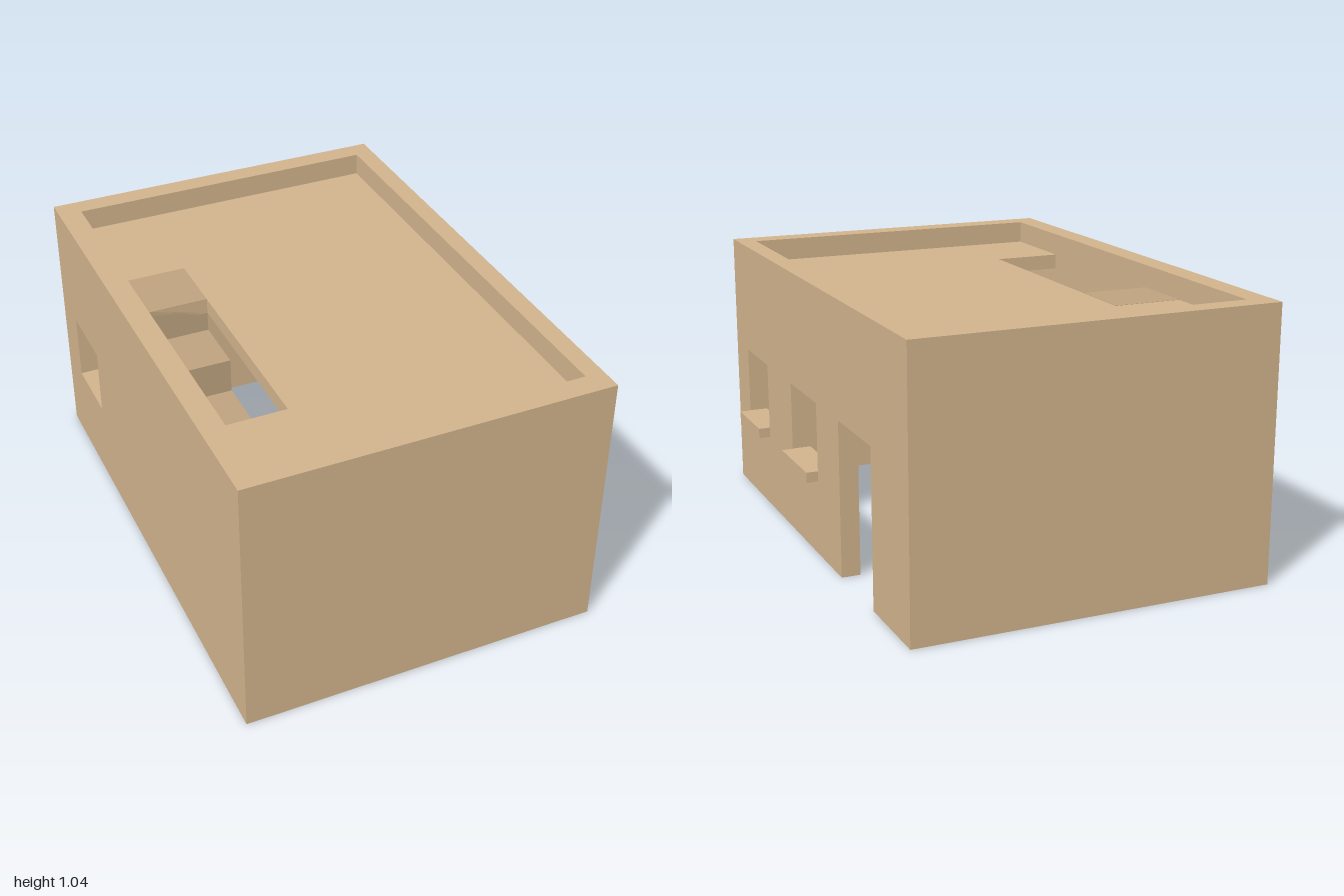
import * as THREE from 'three';

// Overall plan: outer and inner faces of the walls, and main heights
const X0 = -0.72, X1 = 0.67, Z0 = -1, Z1 = 1, H = 1.045;
const IX0 = -0.63, IX1 = 0.597, IZ0 = -0.917, IZ1 = 0.91;
const ROOF = 0.957, SLAB = 0.06, STAIR_X = -0.36;
const RISE = ROOF / 7;

const wallMat = new THREE.MeshStandardMaterial({ color: 0xd2b48c });
const stairMat = new THREE.MeshStandardMaterial({ color: 0xbea37f });

function add(group, name, geometry, material = wallMat) {
  const mesh = new THREE.Mesh(geometry, material);
  mesh.name = name;
  group.add(mesh);
}

// Box given by its two opposite corners
function box(x0, x1, y0, y1, z0, z1) {
  return new THREE.BoxGeometry(x1 - x0, y1 - y0, z1 - z0)
    .translate((x0 + x1) / 2, (y0 + y1) / 2, (z0 + z1) / 2);
}

const polygon = (pts) => new THREE.Shape(pts.map(([a, b]) => new THREE.Vector2(a, b)));

// Side profile of [z, y] points with rectangular holes, extruded from x0 to x1
function sideProfile(pts, holes, x0, x1) {
  const shape = polygon(pts.map(([z, y]) => [-z, y]));
  for (const [z0, z1, y0, y1] of holes) {
    shape.holes.push(polygon([[-z0, y0], [-z0, y1], [-z1, y1], [-z1, y0]]));
  }
  return new THREE.ExtrudeGeometry(shape, { depth: x1 - x0, bevelEnabled: false })
    .rotateY(Math.PI / 2)
    .translate(x0, 0, 0);
}

export function createModel() {
  const house = new THREE.Group();
  house.name = 'house';

  // Long wall with the doorway and two windows
  const windows = [[-0.068, 0.243, 0.335, 0.6], [0.556, 0.838, 0.335, 0.6]];
  add(house, 'doorWall', sideProfile([
    [Z1, 0], [-0.317, 0], [-0.317, 0.6], [-0.652, 0.6], [-0.652, 0], [Z0, 0], [Z0, H], [Z1, H],
  ], windows, IX1, X1));

  // Window sills
  for (const [z0, z1, y] of windows) {
    add(house, 'windowSill', box(X1, 0.715, y - 0.04, y, z0, z1 - 0.003));
  }

  // Opposite long wall with one window
  add(house, 'stairWall', sideProfile([[Z1, 0], [Z0, 0], [Z0, H], [Z1, H]],
    [[-0.83, -0.55, 0.335, 0.6]], X0, IX0));

  // End walls
  add(house, 'frontWall', box(IX0, IX1, 0, H, IZ1, Z1));
  add(house, 'backWall', box(IX0, IX1, 0, H, Z0, IZ0));

  // Flat roof below the parapet, notched for the stair hatch
  const roof = polygon([
    [IX0, -IZ1], [IX1, -IZ1], [IX1, -IZ0], [IX0, -IZ0],
    [IX0, 0.22], [STAIR_X, 0.22], [STAIR_X, -0.555], [IX0, -0.555],
  ]);
  add(house, 'roof', new THREE.ExtrudeGeometry(roof, { depth: SLAB, bevelEnabled: false })
    .rotateX(-Math.PI / 2)
    .translate(0, ROOF - SLAB, 0));

  // Solid stair: corner landing, then steps rising to roof level, with a low plinth behind
  const stepZ = [IZ1, 0.65, 0.42, 0.22, 0.01, -0.22, -0.47];
  const profile = [];
  for (let i = 0; i < stepZ.length - 1; i++) {
    const y = RISE * (i + 2) + (i === 5 ? 0.001 : 0);
    profile.push([stepZ[i], y], [stepZ[i + 1], y]);
  }
  profile.push([-0.47, 0.19], [IZ0, 0.19], [IZ0, 0], [IZ1, 0]);
  add(house, 'stairs', sideProfile(profile, [], IX0, STAIR_X), stairMat);

  // Lowest step, turning out from the corner landing
  add(house, 'bottomStep', box(STAIR_X, -0.11, 0, RISE, 0.65, IZ1), stairMat);

  return house;
}
